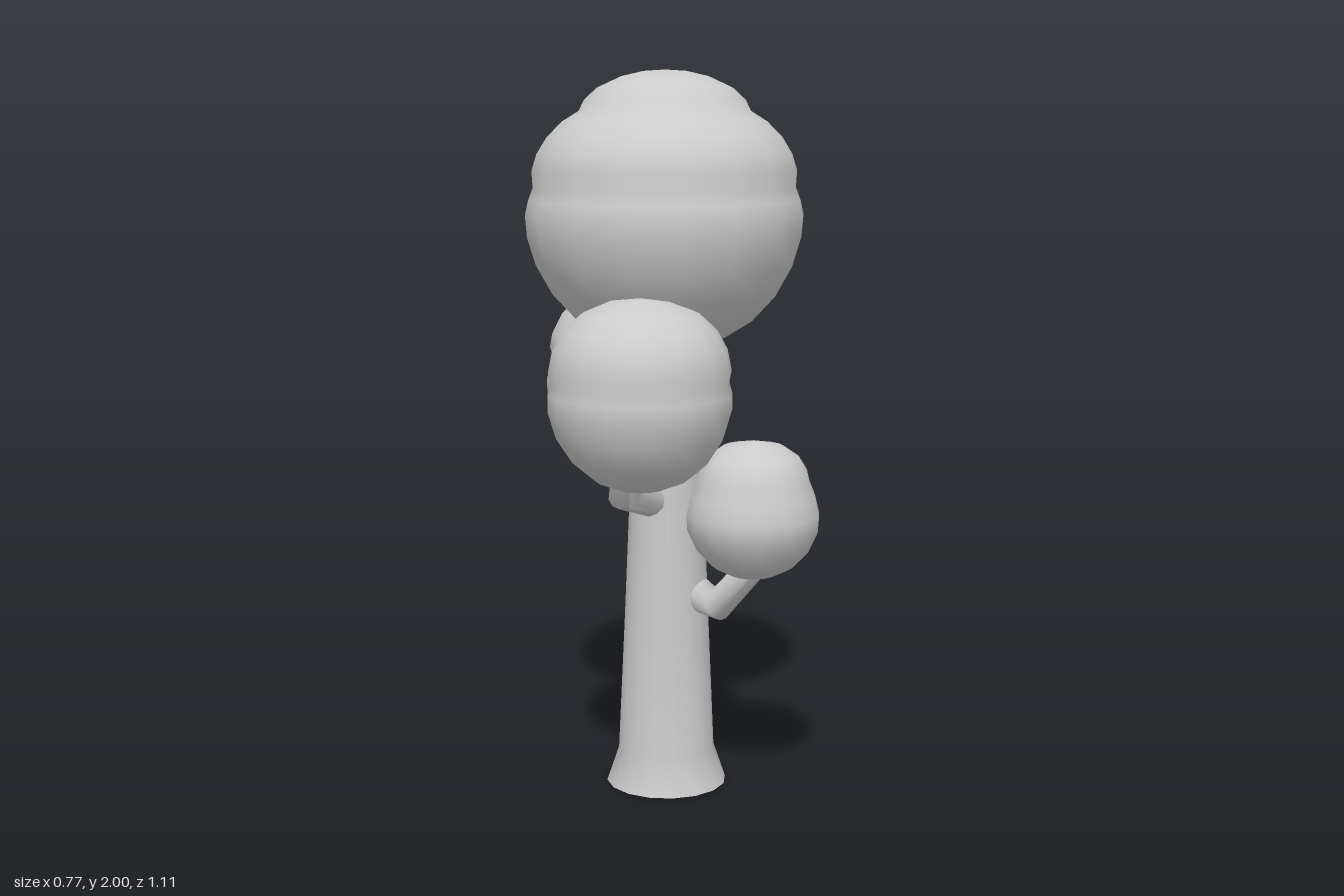
import * as THREE from 'three';

const SIDES = 16;
const material = new THREE.MeshStandardMaterial({ color: 0xcccccc });

// Turned solid from [radius, height] pairs, listed bottom to top
function turned(name, profile, x = 0, z = 0) {
  const points = profile.map(([r, y]) => new THREE.Vector2(r, y));
  const mesh = new THREE.Mesh(new THREE.LatheGeometry(points, SIDES), material);
  mesh.name = name;
  mesh.position.set(x, 0, z);
  return mesh;
}

// Bent, tapering branch: the three rings of a cylinder are set on start, elbow and end
function branch(name, nodes, rStart, rEnd) {
  const p = nodes.map((n) => new THREE.Vector3(...n));
  const lower = p[1].clone().sub(p[0]).normalize();
  const upper = p[2].clone().sub(p[1]).normalize();
  const mitre = lower.clone().add(upper).normalize();
  const up = new THREE.Vector3(0, 1, 0);
  const turns = [lower, mitre, upper].map((d) => new THREE.Quaternion().setFromUnitVectors(up, d));
  const geometry = new THREE.CylinderGeometry(rEnd, rStart, 1, 12, 2);
  const pos = geometry.attributes.position;
  const v = new THREE.Vector3();
  for (let i = 0; i < pos.count; i++) {
    v.fromBufferAttribute(pos, i);
    const ring = Math.round((v.y + 0.5) * 2);
    v.setY(0).applyQuaternion(turns[ring]).add(p[ring]);
    pos.setXYZ(i, v.x, v.y, v.z);
  }
  geometry.computeVertexNormals();
  const mesh = new THREE.Mesh(geometry, material);
  mesh.name = name;
  return mesh;
}

export function createModel() {
  const tree = new THREE.Group();
  tree.name = 'tree';

  // Trunk with flared foot, leaning slightly forward
  const trunk = turned('trunk', [
    [0.17, 0], [0.136, 0.1], [0.118, 0.5], [0.104, 0.85], [0.092, 1.25], [0.088, 1.4],
  ]);
  const pos = trunk.geometry.attributes.position;
  for (let i = 0; i < pos.count; i++) pos.setZ(i, pos.getZ(i) + 0.02 + 0.016 * pos.getY(i));
  trunk.geometry.computeVertexNormals();
  tree.add(trunk);

  const base = new THREE.Mesh(new THREE.CircleGeometry(0.17, SIDES), material);
  base.name = 'trunkBase';
  base.rotation.x = Math.PI / 2;
  base.position.set(0, 0, 0.02);
  tree.add(base);

  // Branches
  tree.add(
    branch('leftBranch', [[0.08, 0.555, 0.06], [0.125, 0.55, 0.18], [0.26, 0.72, 0.235]], 0.05, 0.036),
    branch('backBranch', [[-0.01, 0.69, -0.03], [-0.03, 0.75, -0.19], [-0.05, 0.95, -0.235]], 0.062, 0.045),
    branch('rightBranch', [[-0.04, 0.83, 0.08], [-0.13, 0.87, 0.2], [-0.12, 1.02, 0.26]], 0.052, 0.045),
  );

  // Foliage: rounded masses with a shallow groove around the middle
  tree.add(
    turned('crown', [
      [0, 1.245], [0.1, 1.252], [0.17, 1.278], [0.245, 1.325], [0.31, 1.395], [0.355, 1.475],
      [0.378, 1.55], [0.383, 1.61], [0.374, 1.65], [0.361, 1.685], [0.364, 1.73], [0.35, 1.775],
      [0.322, 1.82], [0.28, 1.862], [0.235, 1.89], [0.22, 1.92], [0.185, 1.952], [0.12, 1.982],
      [0.06, 1.996], [0, 2],
    ], -0.003, 0.02),
    turned('rightFoliage', [
      [0, 0.9], [0.06, 0.907], [0.12, 0.93], [0.18, 0.98], [0.222, 1.045], [0.243, 1.115],
      [0.243, 1.16], [0.235, 1.187], [0.241, 1.22], [0.23, 1.275], [0.203, 1.325],
      [0.155, 1.37], [0.08, 1.402], [0, 1.412],
    ], -0.1, 0.31),
    turned('backFoliage', [
      [0, 0.835], [0.06, 0.843], [0.13, 0.875], [0.185, 0.935], [0.225, 1.01], [0.246, 1.08],
      [0.246, 1.12], [0.234, 1.155], [0.227, 1.18], [0.237, 1.21], [0.23, 1.25],
      [0.2, 1.31], [0.15, 1.36], [0.08, 1.393], [0, 1.403],
    ], -0.07, -0.31),
    turned('leftFoliage', [
      [0, 0.652], [0.06, 0.66], [0.11, 0.685], [0.152, 0.73], [0.177, 0.785], [0.18, 0.825],
      [0.168, 0.875], [0.152, 0.915], [0.145, 0.945], [0.122, 0.982], [0.08, 1.011], [0, 1.026],
    ], 0.205, 0.28),
  );
  return tree;
}
